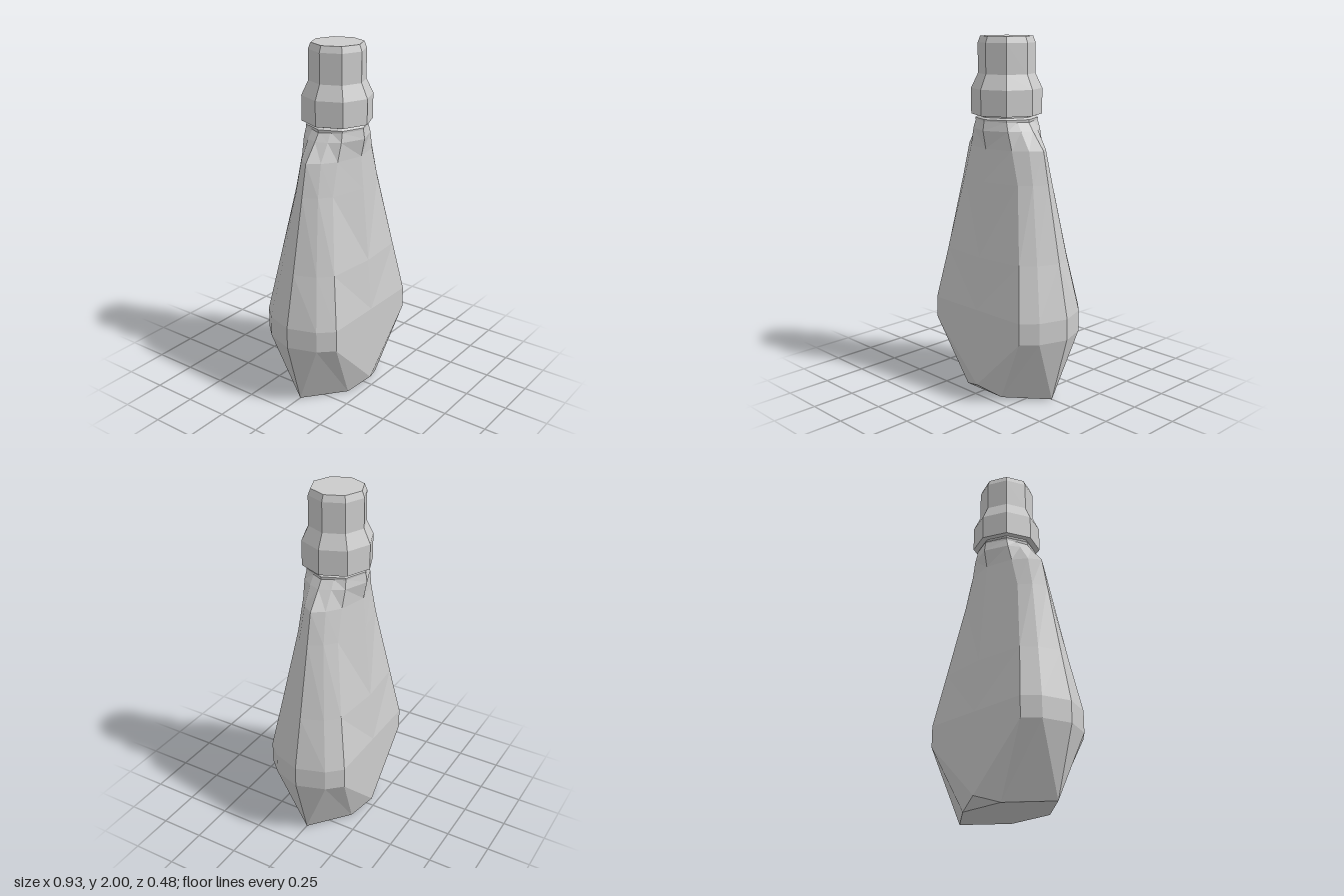
import * as THREE from 'three';

const material = new THREE.MeshStandardMaterial({ color: 0xcccccc, flatShading: true });

// One quarter of each body cross-section, side -> front, as [x, y, z], bottom to top
const level = (y, pts) => pts.map(([x, z, yy = y]) => [x, y === yy ? y : yy, z]);
const quarters = [
  level(0, [[0, 0], [0, 0], [0, 0], [0, 0]]),
  level(0, [[0.36, 0], [0.36, 0], [0.14, 0.18], [0, 0.18]]),
  level(0, [[0.36, 0], [0.36, 0], [0.14, 0.18], [0, 0.24, 0.05]]),
  level(0.38, [[0.465, 0], [0.41, 0.16], [0.335, 0.24], [0, 0.24]]),
  level(0.5, [[0.465, 0], [0.41, 0.16], [0.335, 0.24], [0, 0.24]]),
  level(0.8, [[0.403, 0], [0.352, 0.12], [0.285, 0.19], [0, 0.215]]),
  level(1.22, [[0.317, 0], [0.275, 0.075], [0.21, 0.125], [0, 0.176]]),
  level(1.4, [[0.28, 0], [0.235, 0.065], [0.16, 0.12], [0, 0.16]]),
  level(1.5, [[0.2, 0], [0.175, 0.065], [0.135, 0.125], [0, 0.18]]),
  level(1.55, [[0.165, 0], [0.143, 0.06], [0.12, 0.12], [0, 0.172]]),
];

// Mirror a quarter section into a closed ring of 12 points
function fullRing([a, b, c, d]) {
  const flip = ([x, y, z], sx, sz) => [x * sx, y, z * sz];
  return [a, b, c, d,
    flip(c, -1, 1), flip(b, -1, 1), flip(a, -1, 1),
    flip(b, -1, -1), flip(c, -1, -1), flip(d, 1, -1),
    flip(c, 1, -1), flip(b, 1, -1)];
}

function loft(rings) {
  const out = [];
  const tri = (...p) => {
    const [a, b, c] = p.map((q) => new THREE.Vector3(...q));
    if (new THREE.Triangle(a, b, c).getArea() > 1e-6) out.push(...p.flat());
  };
  const n = rings[0].length;
  for (let i = 0; i < rings.length - 1; i++) {
    for (let j = 0; j < n; j++) {
      const k = (j + 1) % n;
      const a = rings[i][j], b = rings[i][k], c = rings[i + 1][j], d = rings[i + 1][k];
      // Mirrored quarters use mirrored diagonals
      if (Math.floor(j / 3) % 2 === 0) { tri(a, c, b); tri(b, c, d); }
      else { tri(a, c, d); tri(a, d, b); }
    }
  }
  const geo = new THREE.BufferGeometry();
  geo.setAttribute('position', new THREE.Float32BufferAttribute(out, 3));
  geo.computeVertexNormals();
  return geo;
}

// Eight-sided turned part from [radius, y] pairs
function turned(name, profile) {
  const geo = new THREE.LatheGeometry(profile.map(([r, y]) => new THREE.Vector2(r, y)), 8);
  const mesh = new THREE.Mesh(geo, material);
  mesh.name = name;
  return mesh;
}

export function createModel() {
  const group = new THREE.Group();
  group.name = 'bottle';

  // Flattened, faceted body
  const body = new THREE.Mesh(loft(quarters.map(fullRing)), material);
  body.name = 'body';
  group.add(body);

  // Short neck under the cap
  group.add(turned('neck', [[0.155, 1.4], [0.168, 1.53], [0.172, 1.56], [0.16, 1.57], [0.16, 1.59]]));

  // Stepped cap
  group.add(turned('cap', [[0, 1.58], [0.195, 1.58], [0.195, 1.72], [0.157, 1.8],
    [0.157, 1.965], [0.143, 2], [0, 2]]));

  return group;
}
